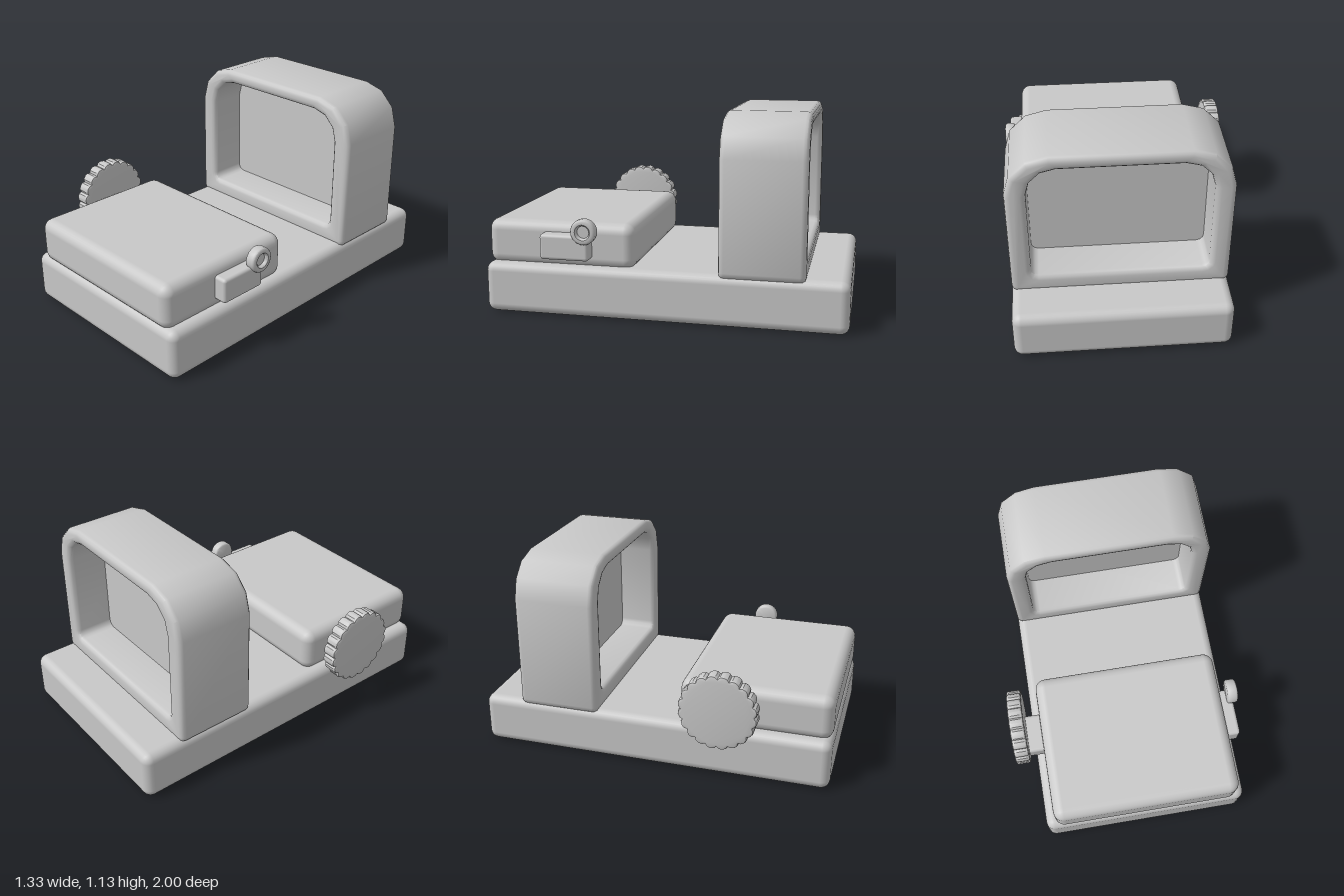
import * as THREE from 'three';
import { toCreasedNormals } from 'three/addons/utils/BufferGeometryUtils.js';
import { RoundedBoxGeometry } from 'three/addons/geometries/RoundedBoxGeometry.js';

const grey = new THREE.MeshStandardMaterial({ color: 0xc8c8c8 });
grey.name = 'plain grey';

function add(group, name, geometry) {
  const mesh = new THREE.Mesh(geometry, grey);
  mesh.name = name;
  group.add(mesh);
  return mesh;
}

// rounded block given by its min and max corners
function block(group, name, min, max, radius) {
  const size = max.map((v, i) => v - min[i]);
  const mesh = add(group, name, new RoundedBoxGeometry(...size, 3, radius));
  mesh.position.set(...max.map((v, i) => (v + min[i]) / 2));
  return mesh;
}

// arch outline: wide three-segment corners above, small ones below
function archPoints(x0, x1, y0, y1, topR, bottomR) {
  const corners = [
    [x1 - bottomR, y0 + bottomR, bottomR, -90], [x1 - topR, y1 - topR, topR, 0],
    [x0 + topR, y1 - topR, topR, 90], [x0 + bottomR, y0 + bottomR, bottomR, 180],
  ];
  return corners.flatMap(([cx, cy, r, start]) => [0, 30, 60, 90].map((d) => {
    const a = THREE.MathUtils.degToRad(start + d);
    return new THREE.Vector2(cx + r * Math.cos(a), cy + r * Math.sin(a));
  }));
}

// bevelled extrusion centred on z = 0
function slab(shape, depth, bevel, segments = 3) {
  const geometry = new THREE.ExtrudeGeometry(shape, {
    depth: depth - 2 * bevel, bevelEnabled: bevel > 0, bevelThickness: bevel,
    bevelSize: bevel, bevelOffset: -bevel, bevelSegments: segments,
  });
  geometry.translate(0, 0, bevel - depth / 2);
  return toCreasedNormals(geometry, 0.6);
}

export function createModel() {
  const model = new THREE.Group();
  model.name = 'reflexSight';

  // mounting base and front housing
  block(model, 'base', [-0.555, 0, -1], [0.62, 0.285, 1], 0.05);
  block(model, 'housing', [-0.5, 0.265, 0.155], [0.57, 0.52, 0.995], 0.06);

  // hood with an open window
  const hoodShape = new THREE.Shape(archPoints(-0.555, 0.62, 0.26, 1.132, 0.23, 0.04));
  const opening = [-0.445, 0.51, 0.37, 1.055, 0.155, 0.04];
  hoodShape.holes.push(new THREE.Path(archPoints(...opening).reverse()));
  add(model, 'hood', slab(hoodShape, 0.46, 0.03)).position.z = -0.54;

  // lens pane halfway through the hood
  const lensShape = new THREE.Shape(archPoints(...opening));
  add(model, 'lens', slab(lensShape, 0.01, 0)).position.z = -0.54;

  // scalloped adjustment knob on its stub
  block(model, 'knobStub', [-0.61, 0.335, 0.35], [-0.47, 0.445, 0.57], 0.02);
  const ridges = 20;
  const rim = [];
  for (let i = 0; i < ridges; i++) {
    for (const [t, r] of [[0, 0.2], [0.18, 0.211], [0.5, 0.216], [0.82, 0.211]]) {
      const a = ((i + t) / ridges) * Math.PI * 2;
      rim.push(new THREE.Vector2(r * Math.cos(a), r * Math.sin(a)));
    }
  }
  const knob = add(model, 'knob', slab(new THREE.Shape(rim), 0.084, 0.012, 2));
  knob.rotation.y = Math.PI / 2;
  knob.position.set(-0.627, 0.44, 0.408);

  // side bracket with a hollow-headed screw
  block(model, 'bracket', [0.54, 0.325, 0.39], [0.642, 0.465, 0.665], 0.018);
  const screwProfile = [
    [0, 0], [0.058, 0], [0.066, 0.004], [0.07, 0.013], [0.07, 0.047], [0.066, 0.056],
    [0.056, 0.061], [0.043, 0.06], [0.036, 0.053], [0.034, 0.04], [0, 0.04],
  ].map(([r, y]) => new THREE.Vector2(r, y));
  const screwGeometry = toCreasedNormals(new THREE.LatheGeometry(screwProfile, 24), 0.7);
  const screw = add(model, 'screw', screwGeometry);
  screw.rotation.z = -Math.PI / 2;
  screw.position.set(0.603, 0.49, 0.412);

  return model;
}
